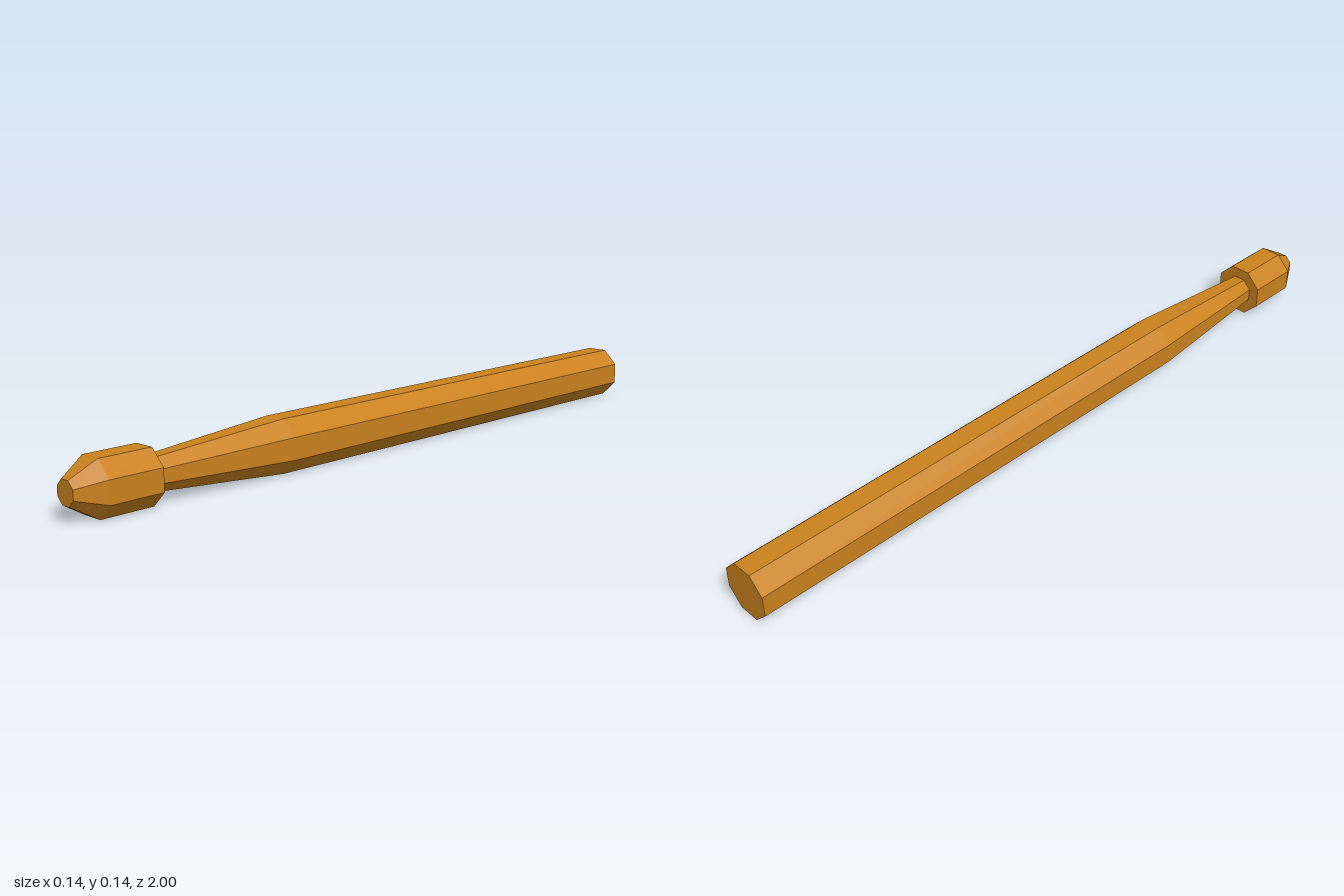
import * as THREE from 'three';

const APOTHEM = 0.0695; // half the width across the flats
const CORNER = 1 / Math.cos(Math.PI / 8); // apothem to corner radius

// Eight-sided turned part along z, from [apothem, z] pairs listed back to front
function turned(name, profile, material) {
  const points = profile.map(([a, z]) => new THREE.Vector2(a * CORNER, z));
  const geometry = new THREE.LatheGeometry(points, 8, Math.PI / 8);
  geometry.rotateX(Math.PI / 2);
  const mesh = new THREE.Mesh(geometry, material);
  mesh.name = name;
  mesh.position.y = APOTHEM;
  return mesh;
}

export function createModel() {
  const group = new THREE.Group();
  group.name = 'drumstick';
  const wood = new THREE.MeshStandardMaterial({ color: 0xc9821f, flatShading: true });

  // Straight handle with a closed butt end
  group.add(turned('handle', [[0, -1], [APOTHEM, -1], [APOTHEM, 0.385]], wood));

  // Shoulder tapering to the neck
  group.add(turned('taperedShoulder', [[APOTHEM, 0.385], [0.04, 0.785]], wood));

  // Wider bead with a chamfered, flat nose
  group.add(turned('tip', [[0.04, 0.785], [APOTHEM, 0.785], [APOTHEM, 0.932], [0.03, 1], [0, 1]], wood));

  return group;
}
